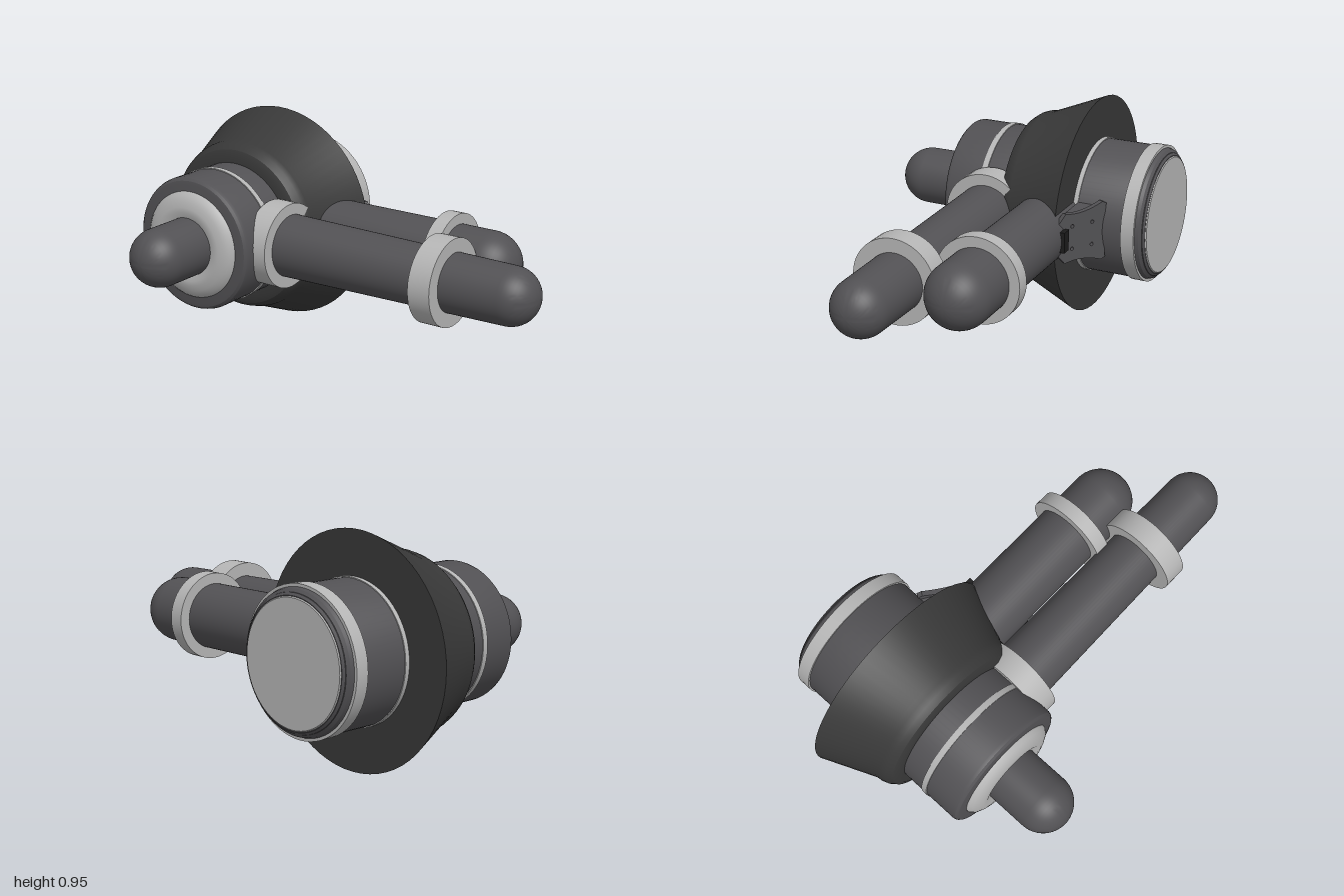
import * as THREE from 'three';
import { toCreasedNormals } from 'three/addons/utils/BufferGeometryUtils.js';

const CX = -0.525, CY = 0.477; // main axis position

function material(name, color) {
  const m = new THREE.MeshStandardMaterial({ color });
  m.name = name;
  return m;
}

export function createModel() {
  const group = new THREE.Group();
  const dark = material('dark grey', 0x525154);
  const light = material('light grey', 0xb5b5b5);
  const charcoal = material('charcoal', 0x383838);
  const black = material('black', 0x1c1c1c);

  function add(name, geometry, mat, parent = group) {
    const mesh = new THREE.Mesh(geometry, mat);
    mesh.name = name;
    parent.add(mesh);
    return mesh;
  }

  // Revolved part from [radius, position along axis] pairs
  function turned(points, segments = 64) {
    const g = new THREE.LatheGeometry(points.map(p => new THREE.Vector2(p[0], p[1])), segments);
    return toCreasedNormals(g, 0.5);
  }
  function alongZ(name, points, mat) {
    const mesh = add(name, turned(points), mat);
    mesh.rotation.x = Math.PI / 2;
    mesh.position.set(CX, CY, 0);
  }
  function alongX(name, points, mat, z) {
    const mesh = add(name, turned(points), mat);
    mesh.rotation.z = -Math.PI / 2;
    mesh.position.set(0, CY, z);
  }

  // Rod profile ending in a round nose
  function rodProfile(start, end, r0, r1) {
    const pts = [[0, start], [r0, start]];
    for (let i = 0; i <= 12; i++) {
      const a = (i / 12) * Math.PI / 2;
      pts.push([Math.max(0, r1 * Math.cos(a)), end - r1 + r1 * Math.sin(a)]);
    }
    return pts;
  }
  // Flat collar profile
  const collar = (a, b, r) => [[0, a], [r, a], [r, b], [0, b]];

  // Main body with rounded shoulders
  alongZ('body', [
    [0, -0.615], [0.268, -0.615], [0.28, -0.605], [0.285, -0.59], [0.289, -0.58],
    [0.289, 0.275], [0.285, 0.288], [0.275, 0.297], [0.26, 0.30], [0, 0.30]
  ], dark);
  alongZ('frontBand', collar(0.11, 0.135, 0.293), light);
  alongZ('middleBand', collar(-0.33, -0.305, 0.293), light);
  alongZ('rearBand', collar(-0.59, -0.532, 0.297), light);
  alongZ('rearRim', [[0, -0.626], [0.257, -0.626], [0.267, -0.618], [0.267, -0.6], [0, -0.6]], dark);
  alongZ('rearCap', [[0, -0.63], [0.25, -0.63], [0.255, -0.625], [0, -0.625]], light);

  // Flared skirt around the body
  alongZ('flaredSkirt', [
    [0.28, -0.31], [0.475, -0.31], [0.376, -0.075], [0.373, -0.05],
    [0.364, -0.025], [0.345, 0], [0.32, 0.01], [0.28, 0.01]
  ], charcoal);

  // Front hub and stub
  alongZ('frontHub', [
    [0.232, 0.295], [0.23, 0.305], [0.217, 0.32], [0.195, 0.331],
    [0.17, 0.338], [0.15, 0.34], [0.12, 0.33]
  ], light);
  alongZ('frontStub', rodProfile(0.29, 0.63, 0.125, 0.125), dark);

  // Side rods with their collars
  alongX('frontRod', rodProfile(-0.35, 1.0, 0.136, 0.12), dark, 0.067);
  alongX('frontRodBaseCollar', collar(-0.28, -0.178, 0.182), light, 0.07);
  alongX('frontRodCollar', collar(0.523, 0.622, 0.182), light, 0.07);
  alongX('rearRod', rodProfile(-0.3, 0.755, 0.139, 0.138), dark, -0.213);
  alongX('rearRodCollar', collar(0.403, 0.467, 0.183), light, -0.213);

  // Bracket: pinched sloping plate behind the rear rod
  const bracket = new THREE.Group();
  bracket.name = 'bracket';
  bracket.position.set(-0.155, CY, -0.385);
  bracket.rotation.y = Math.PI - Math.atan2(0.13, 0.21);
  group.add(bracket);
  const s = new THREE.Shape();
  s.moveTo(-0.12, -0.07);
  s.lineTo(-0.085, -0.11);
  s.quadraticCurveTo(0, -0.09, 0.1, -0.13);
  s.lineTo(0.12, -0.12);
  s.quadraticCurveTo(0.105, 0, 0.12, 0.12);
  s.lineTo(0.1, 0.13);
  s.quadraticCurveTo(0, 0.09, -0.085, 0.11);
  s.lineTo(-0.12, 0.07);
  s.closePath();
  for (const y of [-0.05, 0.05]) {
    for (const x of [-0.05, 0.05]) {
      const hole = new THREE.Path();
      hole.absarc(x, y, 0.008, 0, Math.PI * 2, true);
      s.holes.push(hole);
    }
  }
  const plate = new THREE.ExtrudeGeometry(s, { depth: 0.022, bevelEnabled: false });
  plate.translate(0, 0, -0.011);
  add('bracketPlate', plate, dark, bracket);
  const clip = add('bracketClip', new THREE.BoxGeometry(0.045, 0.09, 0.04), black);
  clip.position.set(-0.055, CY, -0.345);

  // Triangular gussets joining the plate to the body
  const t = new THREE.Shape();
  t.moveTo(-0.265, 0.44);
  t.lineTo(-0.265, 0.33);
  t.lineTo(-0.09, 0.33);
  t.closePath();
  for (const y of [-0.09, 0.09]) {
    const gusset = new THREE.ExtrudeGeometry(t, { depth: 0.02, bevelEnabled: false });
    gusset.translate(0, 0, -0.01);
    const mesh = add('bracketGusset', gusset, dark);
    mesh.rotation.x = -Math.PI / 2;
    mesh.position.set(0, CY + y, 0);
  }

  return group;
}
